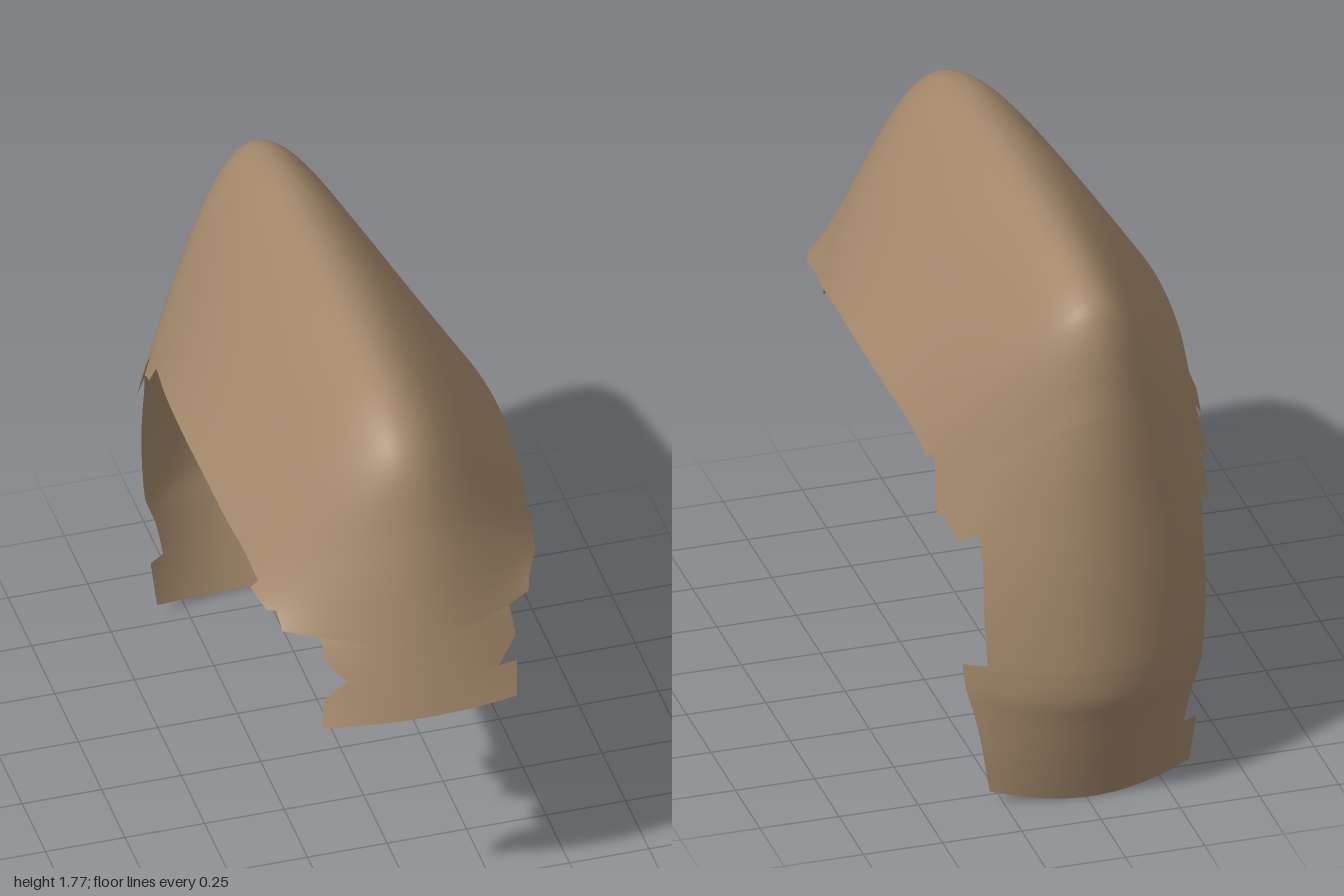
import * as THREE from 'three';

// Sections from the front hem, over the crest, to the back hem:
// crest y, z; side edge x, y, z; roundness (small = sharp ridge, large = even arc)
const SECTIONS = [
  [.845, 1, .325, .83, .945, 2],
  [1.09, .93, .395, 1.09, .775, 1],
  [1.4, .843, .44, 1.14, .64, .6],
  [1.64, .755, .46, 1.18, .48, .4],
  [1.735, .6, .478, 1.2, .36, .4],
  [1.768, .3, .49, 1.225, .2, .4],
  [1.775, 0, .495, 1.23, 0, .4],
  [1.765, -.35, .48, 1.2, -.26, .4],
  [1.74, -.68, .45, 1.15, -.45, .4],
  [1.67, -.87, .435, 1.09, -.57, .45],
  [1.4, -.95, .43, .94, -.67, .6],
  [1.05, -.985, .4, .86, -.76, 1],
  [.7, -1, .4, .65, -.795, 2],
  [.42, -.99, .385, .42, -.805, 2],
  [.3, -.95, .36, .3, -.805, 2],
  [.003, -.85, .33, .045, -.785, 2],
];

// Ragged side edges: [position along the sections, fraction of half width]
const LEFT_EDGE = [[0, .89], [.35, .87], [.38, .68], [.6, .84], [.99, .76], [1, .95], [1.3, .95],
  [2, 1], [9, 1], [9.05, .96], [10, 1], [10.1, .97], [10.8, .97], [10.85, .85],
  [12.62, .84], [12.65, 1], [14, .98], [15, .92]];
const RIGHT_EDGE = [[0, 1], [.3, .87], [.5, .65], [.7, .78], [.99, .74], [1, 1], [1.5, .95], [1.55, 1],
  [2.2, 1], [2.25, .95], [8, .95], [8.2, 1], [8.9, 1], [8.95, .94], [9.7, 1], [9.75, .91],
  [10.6, 1], [10.65, .92], [13, .92], [14.4, .86], [14.43, 1], [15, 1]];

// Straight-line lookup in a list of [position, value]
function lookUp(list, s) {
  const i = Math.max(1, list.findIndex(e => e[0] >= s));
  const [s0, a] = list[i - 1], [s1, b] = list[i];
  return THREE.MathUtils.lerp(a, b, (s - s0) / (s1 - s0));
}

function createShell() {
  const last = SECTIONS.length - 1, columns = 40, shift = -.015;
  const crest = new THREE.CatmullRomCurve3(SECTIONS.map(p => new THREE.Vector3(0, p[0], p[1])));
  const side = new THREE.CatmullRomCurve3(SECTIONS.map(p => new THREE.Vector3(p[2], p[3], p[4])));
  const roundness = SECTIONS.map((p, i) => [i, p[5]]);

  // Rows are even steps plus every notch corner
  const steps = new Set([...LEFT_EDGE, ...RIGHT_EDGE].map(e => e[0]));
  for (let i = 0; i <= last * 6; i++) steps.add(i / 6);
  const rows = [...steps].sort((a, b) => a - b);

  const positions = [], indices = [];
  rows.forEach((s, r) => {
    const top = crest.getPoint(s / last), edge = side.getPoint(s / last);
    const a = lookUp(roundness, s);
    const left = lookUp(LEFT_EDGE, s), right = lookUp(RIGHT_EDGE, s);
    for (let c = 0; c <= columns; c++) {
      const k = c / columns * 2 - 1;
      const v = k * (k < 0 ? right : left);
      // Rounded ridge falling away to straight flanks
      const drop = (Math.hypot(v, a) - a) / (Math.hypot(1, a) - a);
      positions.push(
        edge.x * v + shift,
        THREE.MathUtils.lerp(top.y, edge.y, drop),
        THREE.MathUtils.lerp(top.z, edge.z, drop));
      if (r > 0 && c > 0) {
        const d = r * (columns + 1) + c, b = d - columns - 1;
        indices.push(b - 1, b, d - 1, b, d, d - 1);
      }
    }
  });
  const geometry = new THREE.BufferGeometry();
  geometry.setAttribute('position', new THREE.Float32BufferAttribute(positions, 3));
  geometry.setIndex(indices);
  geometry.computeVertexNormals();
  return geometry;
}

export function createModel() {
  const group = new THREE.Group();
  group.name = 'drapedShell';
  const material = new THREE.MeshStandardMaterial({ color: 0xa3886a, side: THREE.DoubleSide });
  material.name = 'tan';
  const shell = new THREE.Mesh(createShell(), material);
  shell.name = 'shell';
  group.add(shell);
  return group;
}
